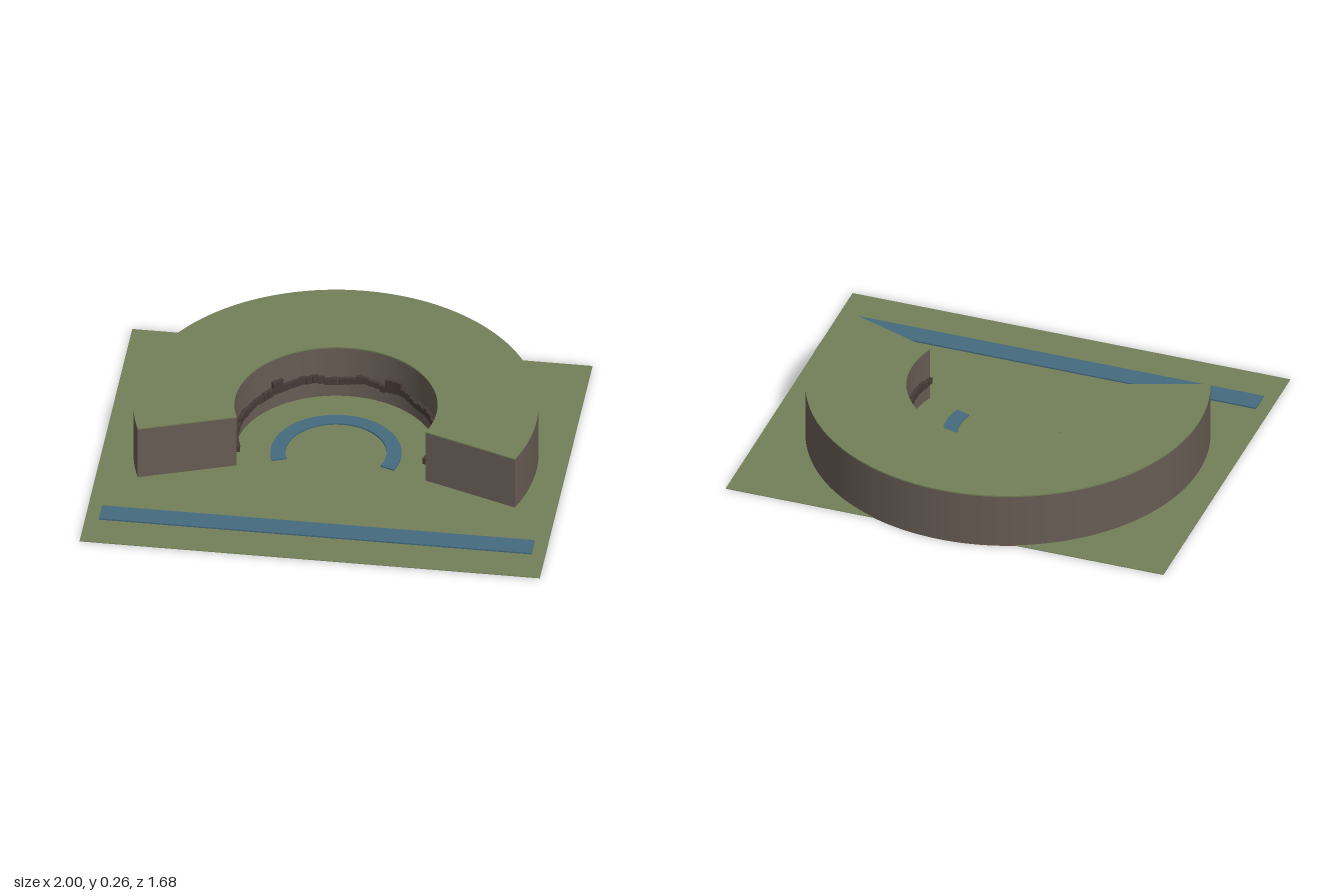
import * as THREE from 'three';

const mat = (name, color) => {
  const m = new THREE.MeshStandardMaterial({ color });
  m.name = name;
  return m;
};
const grass = mat('grass green', 0x738058);
const rock = mat('rock brown', 0x675c54);
const water = mat('water blue', 0x456a7e);
const timber = mat('dark timber', 0x463a36);

const CENTRE_Z = 0.03;
const OPEN = THREE.MathUtils.degToRad(20); // the arcs run this far past the half circle

export function createModel() {
  const model = new THREE.Group();
  model.name = 'horseshoeCliffValley';

  const add = (name, geometry, material, x = 0, y = 0, z = 0, parent = model) => {
    const mesh = new THREE.Mesh(geometry, material);
    mesh.name = name;
    mesh.position.set(x, y, z);
    parent.add(mesh);
    return mesh;
  };

  // Horseshoe slab, open towards +z, standing on its own y = 0
  const horseshoe = (inner, outer, height) => {
    const shape = new THREE.Shape();
    shape.absarc(0, 0, outer, -OPEN, Math.PI + OPEN, false);
    shape.absarc(0, 0, inner, Math.PI + OPEN, -OPEN, true);
    const g = new THREE.ExtrudeGeometry(shape, { depth: height, bevelEnabled: false, curveSegments: 80 });
    return g.rotateX(-Math.PI / 2);
  };

  // Ground and river
  add('ground', new THREE.BoxGeometry(2, 0.003, 1.62), grass, 0, 0.0015, 0.03);
  add('river', new THREE.BoxGeometry(1.88, 0.007, 0.1), water, 0, 0.0065, 0.62);
  add('curvedPool', horseshoe(0.217, 0.282, 0.007), water, 0, 0.003, CENTRE_Z);

  // Cliff with a thin grassy top
  add('cliff', horseshoe(0.437, 0.872, 0.251), rock, 0, 0, CENTRE_Z);
  add('cliffTop', horseshoe(0.437, 0.872, 0.006), grass, 0, 0.251, CENTRE_Z);

  // Cliff dwellings: stepped rooms on a ledge round the inner wall
  const dwellings = new THREE.Group();
  dwellings.name = 'cliffDwellings';
  dwellings.position.z = CENTRE_Z;
  model.add(dwellings);

  // [x, floor height] along the wall, followed by the rooms
  const floorLine = [[-0.43, 0.07], [-0.38, 0.075], [-0.28, 0.08], [-0.15, 0.085], [-0.09, 0.065],
    [0, 0.075], [0.08, 0.085], [0.15, 0.065], [0.22, 0.085], [0.31, 0.065], [0.43, 0.085]];
  const floorAt = (x) => {
    const i = Math.max(1, floorLine.findIndex((p) => p[0] >= x));
    const [a, b] = [floorLine[i - 1], floorLine[i]];
    return THREE.MathUtils.mapLinear(x, a[0], b[0], a[1], b[1]);
  };

  let seed = 7;
  const random = () => (seed = (seed * 16807) % 2147483647) / 2147483647;

  const COUNT = 60;
  const step = (Math.PI + 2 * OPEN) / COUNT;
  for (let i = 0; i < COUNT; i++) {
    const a = -OPEN + (i + 0.5) * step;
    const x = 0.43 * Math.cos(a);
    const onBack = Math.sin(a) > 0;
    const tower = onBack && (Math.abs(x - 0.2) < 0.028 || Math.abs(x + 0.3) < 0.025);
    const height = tower ? 0.062 : 0.026 + random() * 0.012;
    const room = new THREE.Group();
    room.name = tower ? 'towerRoom' : 'room';
    room.position.set(x, floorAt(x) + (random() - 0.5) * 0.008, -0.43 * Math.sin(a));
    room.rotation.y = a - Math.PI / 2;
    dwellings.add(room);
    add('walls', new THREE.BoxGeometry(0.026, height, 0.016), timber, 0, height / 2, 0, room);
    add('roof', new THREE.BoxGeometry(0.0285, 0.004, 0.02), timber, 0, height, 0, room);
  }

  return model;
}
